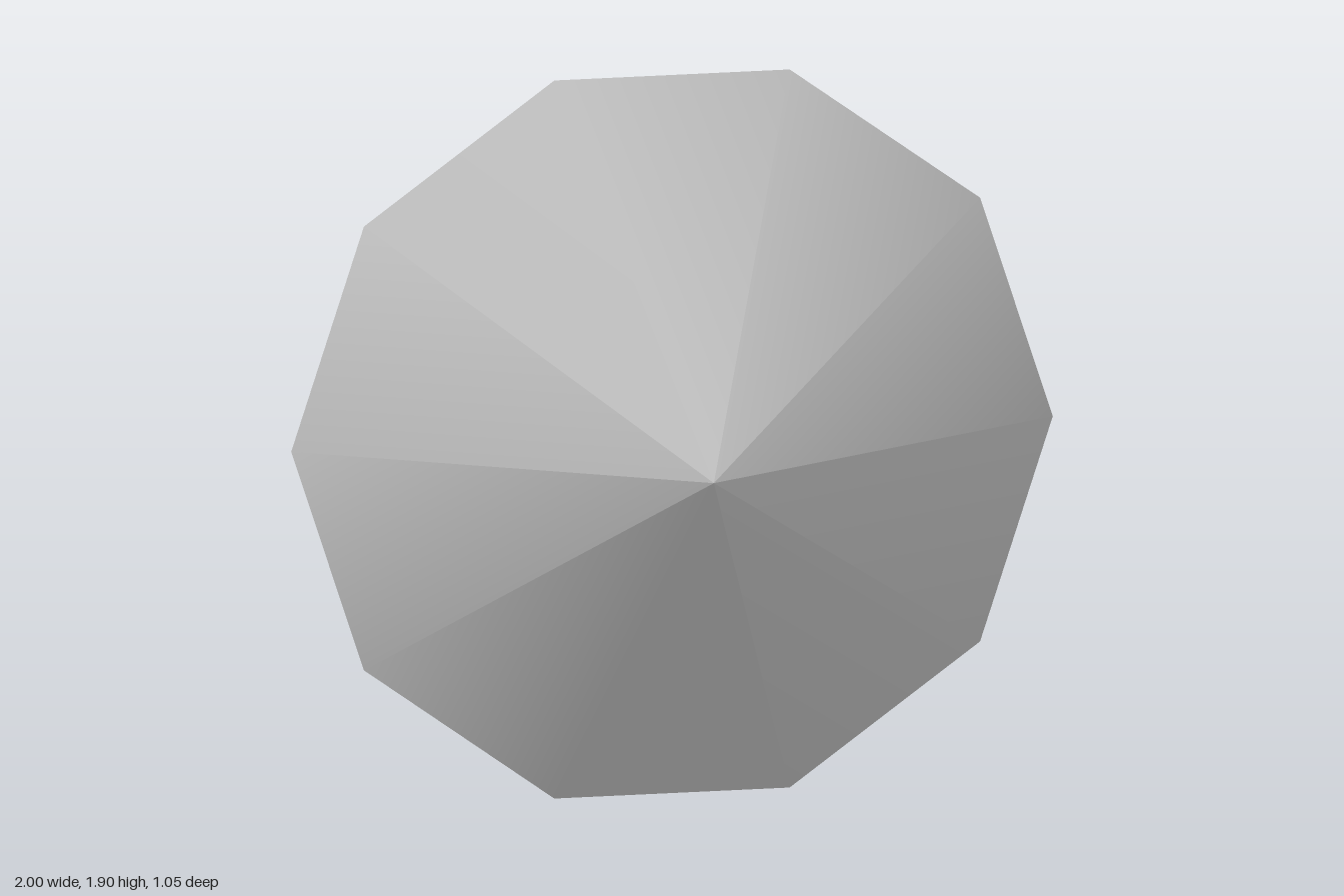
import * as THREE from 'three';

const SIDES = 10;
const RIM = 1;
const BACK = 0.6;
const CENTRE_Y = RIM * Math.sin((72 * Math.PI) / 180); // flat side rests on y = 0

export function createModel() {
  const group = new THREE.Group();
  group.name = 'gem';
  const grey = new THREE.MeshStandardMaterial({ name: 'light grey', color: 0xcccccc });

  const add = (name, geometry, z) => {
    const mesh = new THREE.Mesh(geometry, grey);
    mesh.name = name;
    mesh.position.set(0, CENTRE_Y, z);
    group.add(mesh);
  };

  // Smooth ten-sided ring along z, with corners at x = +-radius
  const ring = (front, back, depth) =>
    new THREE.CylinderGeometry(front, back, depth, SIDES, 1, true, Math.PI / 2).rotateX(Math.PI / 2);

  // Pointed front
  add('frontCone', ring(0, RIM, 0.55), 0.25);
  // Tapered back
  add('backTaper', ring(RIM, BACK, 0.5), -0.275);
  // Flat face closing the back
  add('backFace', new THREE.CircleGeometry(BACK, SIDES).rotateY(Math.PI), -0.525);

  return group;
}
